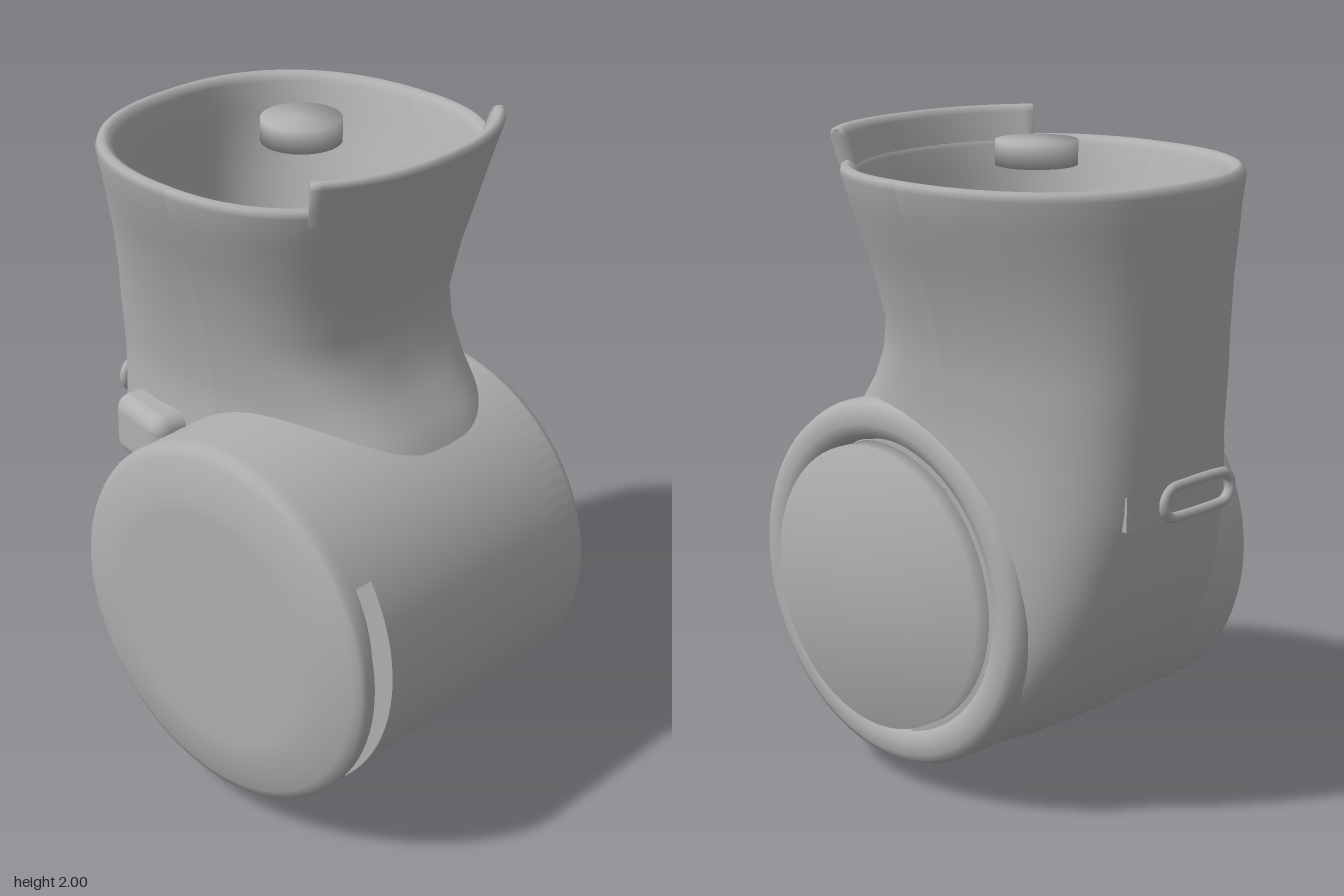
import * as THREE from 'three';
import { mergeVertices } from 'three/addons/utils/BufferGeometryUtils.js';
import { RoundedBoxGeometry } from 'three/addons/geometries/RoundedBoxGeometry.js';

// Horizontal sections of the shell: y, left x, right x, back z, front z, squareness, split x
const SECTIONS = [
  [0.085, 0.1, 0.3, -0.41, 0.40, 3.2, 0.2],
  [0.12, -0.05, 0.3, -0.42, 0.40, 3.2, 0.15],
  [0.2, -0.23, 0.4, -0.43, 0.40, 3.2, 0.05],
  [0.3, -0.37, 0.5, -0.43, 0.39, 3.2, -0.04],
  [0.45, -0.5, 0.5, -0.43, 0.38, 3.2, -0.1],
  [0.6, -0.58, 0.5, -0.43, 0.37, 3.2, -0.12],
  [0.75, -0.635, 0.5, -0.43, 0.36, 3.2, -0.12],
  [0.9, -0.67, 0.5, -0.43, 0.34, 3.1, -0.12],
  [1.0, -0.69, 0.51, -0.43, 0.33, 3, -0.12],
  [1.1, -0.695, 0.475, -0.43, 0.32, 3, -0.12],
  [1.18, -0.70, 0.42, -0.43, 0.315, 3, -0.12],
  [1.25, -0.702, 0.36, -0.435, 0.32, 3, -0.12],
  [1.35, -0.705, 0.305, -0.445, 0.335, 2.9, -0.12],
  [1.45, -0.707, 0.29, -0.46, 0.355, 2.7, -0.12],
  [1.6, -0.71, 0.325, -0.505, 0.395, 2.5, -0.12],
  [1.7, -0.712, 0.355, -0.545, 0.432, 2.4, -0.12],
  [1.8, -0.713, 0.385, -0.585, 0.468, 2.3, -0.12],
  [1.91, -0.715, 0.415, -0.62, 0.5, 2.3, -0.12],
  [2.0, -0.715, 0.445, -0.64, 0.52, 2.3, -0.12],
];

function sectionAt(y) {
  let i = 0;
  while (i < SECTIONS.length - 2 && SECTIONS[i + 1][0] < y) i++;
  const a = SECTIONS[i], b = SECTIONS[i + 1];
  const t = (y - a[0]) / (b[0] - a[0]);
  return a.map((v, k) => v + (b[k] - v) * t);
}

// A point on the shell wall, moved inwards by inset
function shellPoint(y, angle, inset) {
  const [, xl, xr, zb, zf, n, cx] = sectionAt(y);
  const c = Math.cos(angle), s = Math.sin(angle);
  const rx = Math.max((c > 0 ? xr - cx : cx - xl) - inset, 0.01);
  const rz = (zf - zb) / 2 - inset;
  return [
    cx + Math.sign(c) * rx * Math.abs(c) ** (2 / n),
    y,
    (zf + zb) / 2 + Math.sign(s) * rz * Math.abs(s) ** (2 / n),
  ];
}

// Grid over rows of [y, inset] and a range of angles
function wallGeometry(rows, from, to, segments, closeEnds = false) {
  const pos = [], index = [];
  const angles = [];
  for (let j = 0; j <= segments; j++) angles.push(from + ((to - from) * j) / segments);
  if (closeEnds) { angles.unshift(from); angles.push(to); }
  const w = angles.length;
  rows.forEach(([y, inset], i) => angles.forEach((a, j) => {
    const end = closeEnds && (j === 0 || j === w - 1);
    pos.push(...shellPoint(y, a, end ? 0.0225 : inset));
    if (i && j) {
      const d = i * w + j, c = d - 1, b = d - w, e = b - 1;
      index.push(e, c, b, b, c, d);
    }
  }));
  const g = new THREE.BufferGeometry();
  g.setAttribute('position', new THREE.Float32BufferAttribute(pos, 3));
  g.setIndex(index);
  g.computeVertexNormals();
  return g;
}

// Outer wall up, rounded lip, inner wall down
function shellRows(bottom) {
  const ys = SECTIONS.map((s) => s[0]).filter((y) => y >= bottom && y < 1.88);
  return [
    ...ys.map((y) => [y, 0]),
    [1.885, 0], [1.905, 0.01], [1.912, 0.025], [1.905, 0.04], [1.885, 0.05],
    ...ys.reverse().map((y) => [y, 0.05]),
  ];
}

// Soft shading across all edges
function softened(geometry) {
  geometry.deleteAttribute('normal');
  geometry.deleteAttribute('uv');
  const g = mergeVertices(geometry, 1e-4);
  g.computeVertexNormals();
  return g;
}

export function createModel() {
  const model = new THREE.Group();
  const grey = new THREE.MeshStandardMaterial({ color: 0xb0b0b0, side: THREE.DoubleSide });
  grey.name = 'grey';
  const add = (name, geometry, x = 0, y = 0, z = 0) => {
    const m = new THREE.Mesh(geometry, grey);
    m.name = name;
    m.position.set(x, y, z);
    model.add(m);
    return m;
  };
  const H = Math.PI / 2, deg = Math.PI / 180;

  // Shell: long left half and shorter right half, meeting at a seam
  add('leftShell', wallGeometry(shellRows(0.08), H, 3 * H, 40));
  add('neckShell', wallGeometry(shellRows(0.95), -H, H, 40));
  const tabRows = [[1.86, 0], [1.98, 0], [1.998, 0.008], [2, 0.0225], [1.998, 0.037], [1.98, 0.045], [1.86, 0.045]];
  add('rimTab', wallGeometry(tabRows, -0.76, 0.76, 24, true));

  // Drum parts turned around the z axis; angle 0 points down, 90 to +x
  const CX = 0.147, CY = 0.645, R = 0.565;
  const turned = (name, profile, from = 0, to = 360) => {
    const g = new THREE.LatheGeometry(
      profile.map(([r, z]) => new THREE.Vector2(r, z)),
      Math.max(12, Math.round((to - from) / 4)), from * deg, (to - from) * deg);
    g.rotateX(H);
    add(name, g, CX, CY, 0);
  };
  turned('drumWall', [[R, -0.4], [R, 0.46]], -15, 168);
  turned('drumFrontBand', [[R, 0.25], [R, 0.46]]);
  turned('drumBackRim', [[0.44, -0.3], [0.44, -0.405], [0.455, -0.43], [0.49, -0.443],
    [0.53, -0.44], [0.555, -0.425], [R, -0.4], [R, -0.28]]);

  // Front cap with a slot along its right edge
  turned('capFace', [[R, 0.535], [R, 0.565], [0.555, 0.58], [0.53, 0.592], [0.48, 0.605],
    [0.42, 0.617], [0.37, 0.62], [0, 0.62]]);
  turned('capBand', [[R, 0.46], [R, 0.535]], 122, 380);
  turned('capSlotFloor', [[0.49, 0.46], [0.49, 0.535]], 18, 124);
  turned('capSlotSide', [[0.48, 0.46], [R, 0.46]], 18, 124);
  turned('capSlotSide', [[0.48, 0.535], [R, 0.535]], 18, 124);

  // Back disc
  const disc = new THREE.CylinderGeometry(0.435, 0.435, 0.1, 72);
  disc.rotateX(H);
  add('backDisc', softened(disc), CX, CY, -0.43);

  // Floating knob in the neck opening
  add('knob', softened(new THREE.CylinderGeometry(0.12, 0.12, 0.07, 48)), -0.12, 1.935, -0.06);

  // Core inside the shell
  add('coreBlock', new THREE.BoxGeometry(0.61, 0.6, 0.54), -0.065, 0.7, 0.01);
  add('coreShelf', new THREE.BoxGeometry(0.54, 0.5, 0.14), -0.03, 0.7, -0.33);
  for (const z of [-0.2, 0.09]) add('innerClip', new THREE.BoxGeometry(0.07, 0.1, 0.12), -0.63, 1.0, z);

  // Bump on the front of the shell beside the cap
  const bump = add('frontBump', new RoundedBoxGeometry(0.26, 0.2, 0.18, 4, 0.05), -0.37, 1.0, 0.31);
  bump.rotation.y = -0.2;

  // Foot under the drum: a bar with a pad at each end
  const foot = new THREE.Shape();
  foot.moveTo(0.35, 0.12);
  foot.lineTo(0.335, 0.075);
  foot.quadraticCurveTo(0.31, 0, 0.27, 0);
  foot.quadraticCurveTo(0.24, 0, 0.215, 0.024);
  foot.lineTo(-0.19, 0.024);
  foot.quadraticCurveTo(-0.21, 0, -0.24, 0);
  foot.quadraticCurveTo(-0.28, 0, -0.3, 0.075);
  foot.lineTo(-0.32, 0.12);
  foot.closePath();
  const footGeometry = new THREE.ExtrudeGeometry(foot, { depth: 0.155, bevelEnabled: false, curveSegments: 8 });
  footGeometry.rotateY(-H);
  add('foot', footGeometry, 0.31, 0, 0);

  // Oblong loop on the left wall
  const loop = [];
  for (let i = 0; i < 24; i++) {
    const a = -H + (i * Math.PI * 2) / 24 + 0.13;
    loop.push(new THREE.Vector3(0, 0.045 * Math.sin(a), Math.sign(Math.cos(a)) * 0.1 + 0.045 * Math.cos(a)));
  }
  add('sideLoop', new THREE.TubeGeometry(new THREE.CatmullRomCurve3(loop, true), 72, 0.016, 8, true), -0.692, 1.01, 0.01);
  return model;
}
